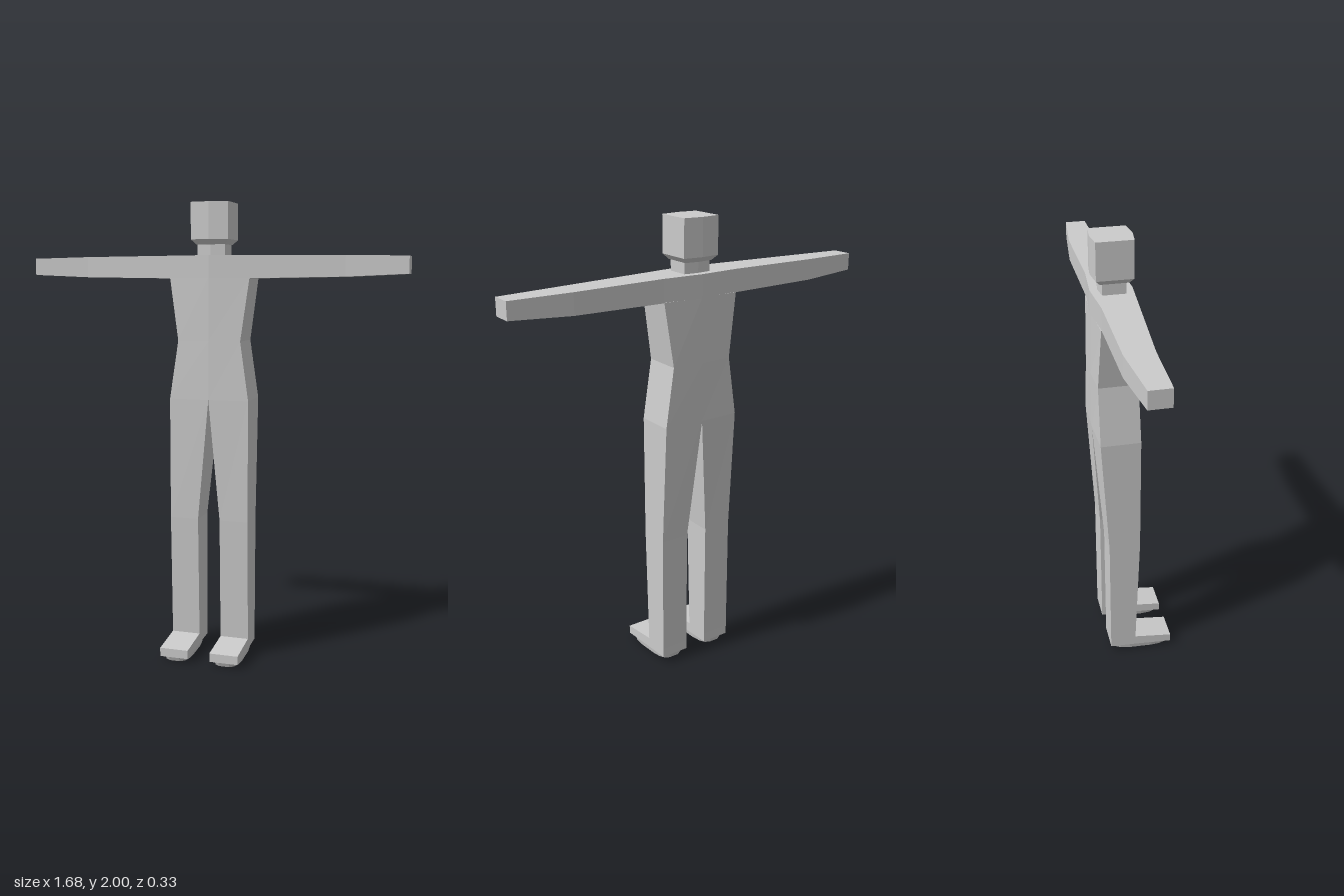
import * as THREE from 'three';

const material = new THREE.MeshStandardMaterial({ color: 0xcccccc, flatShading: true });

// Skins a series of equal-length rings and caps both ends.
// Rings run counter-clockwise as seen from the end of the series.
function loft(name, rings) {
  const pos = [];
  const tri = (a, b, c) => pos.push(...a, ...b, ...c);
  const n = rings[0].length;
  for (let i = 0; i < rings.length - 1; i++) {
    for (let j = 0; j < n; j++) {
      const k = (j + 1) % n;
      tri(rings[i][j], rings[i][k], rings[i + 1][k]);
      tri(rings[i][j], rings[i + 1][k], rings[i + 1][j]);
    }
  }
  const first = rings[0], last = rings[rings.length - 1];
  for (let j = 1; j < n - 1; j++) {
    tri(first[0], first[j + 1], first[j]);
    tri(last[0], last[j], last[j + 1]);
  }
  const geometry = new THREE.BufferGeometry();
  geometry.setAttribute('position', new THREE.Float32BufferAttribute(pos, 3));
  geometry.computeVertexNormals();
  const mesh = new THREE.Mesh(geometry, material);
  mesh.name = name;
  return mesh;
}

// Horizontal six-sided ring: front and back are ridged on the centre line.
const hexRing = ([y, w, front, back, ridge]) => [
  [w, y, front], [w, y, back], [0, y, back - ridge],
  [-w, y, back], [-w, y, front], [0, y, front + ridge],
];

function createLeg(side) {
  const leg = new THREE.Group();
  leg.name = side > 0 ? 'leftLeg' : 'rightLeg';
  const outer = 0.178;
  const span = (inner) => (side > 0 ? [inner, outer] : [-outer, -inner]);

  // Leg column: y, inner x, front z, back z
  leg.add(loft('legColumn', [
    [0.08, 0.05, -0.005, -0.122],
    [0.62, 0.05, 0.014, -0.124],
    [1.155, 0, 0.016, -0.156],
  ].map(([y, inner, f, b]) => {
    const [x0, x1] = span(inner);
    // The inner top edge meets the ridge of the torso
    const r = inner === 0 ? 0.005 : 0;
    const ri = side > 0 ? r : 0, ro = side > 0 ? 0 : r;
    return [[x1, y, f + ro], [x1, y, b - ro], [x0, y, b - ri], [x0, y, f + ri]];
  })));

  // Foot: z, bottom y, top y
  const [x0, x1] = span(0.05);
  leg.add(loft('foot', [
    [-0.122, 0.04, 0.08],
    [-0.005, 0.034, 0.08],
    [0.165, 0.022, 0.06],
  ].map(([z, y0, y1]) => [[x0, y0, z], [x1, y0, z], [x1, y1, z], [x0, y1, z]])));

  // Rounded sole, following the slope of the foot
  const cx = (x0 + x1) / 2, cz = 0.0215;
  const soleRing = (scale, toe, heel) => Array.from({ length: 16 }, (_, i) => {
    const a = (i + 0.5) / 16 * Math.PI * 2;
    const round = (v) => Math.sign(v) * Math.abs(v) ** 0.6;
    const z = cz - round(Math.sin(a)) * 0.143 * scale;
    const t = (z - cz) / 0.287 + 0.5;
    return [cx + round(Math.cos(a)) * 0.064 * scale, heel + (toe - heel) * t, z];
  });
  leg.add(loft('sole', [soleRing(0.94, 0.003, 0.018), soleRing(1, 0.023, 0.041)]));
  return leg;
}

export function createModel() {
  const model = new THREE.Group();
  model.name = 'figure';

  // Torso: y, half width, front z, back z, ridge
  model.add(loft('torso', [
    [1.155, 0.178, 0.016, -0.156, 0.005],
    [1.41, 0.14, 0.012, -0.156, 0.006],
    [1.68, 0.178, 0.006, -0.146, 0.01],
  ].map(hexRing)));

  // Shoulders and arms in one span: x, bottom y, top y, front z, back z
  const half = [
    [0.178, 1.678, 1.775, 0.003, -0.143],
    [0.58, 1.684, 1.773, -0.026, -0.145],
    [0.84, 1.695, 1.768, -0.029, -0.118],
  ];
  const stations = [
    ...half.map(([x, ...rest]) => [-x, ...rest]).reverse(),
    [0, 1.678, 1.776, 0.016, -0.158],
    ...half,
  ];
  model.add(loft('shouldersAndArms', stations.map(([x, y0, y1, f, b]) =>
    [[x, y0, f], [x, y0, b], [x, y1, b], [x, y1, f]])));

  // Neck and head
  model.add(loft('neck', [
    [1.765, 0.062, -0.022, -0.118, 0.008],
    [1.83, 0.062, -0.022, -0.118, 0.008],
  ].map(hexRing)));
  model.add(loft('head', [
    [1.822, 0.065, -0.012, -0.128, 0.008],
    [1.843, 0.083, 0.006, -0.146, 0.01],
    [2.0, 0.083, 0.006, -0.146, 0.01],
  ].map(hexRing)));

  // Legs
  for (const side of [1, -1]) model.add(createLeg(side));
  return model;
}
